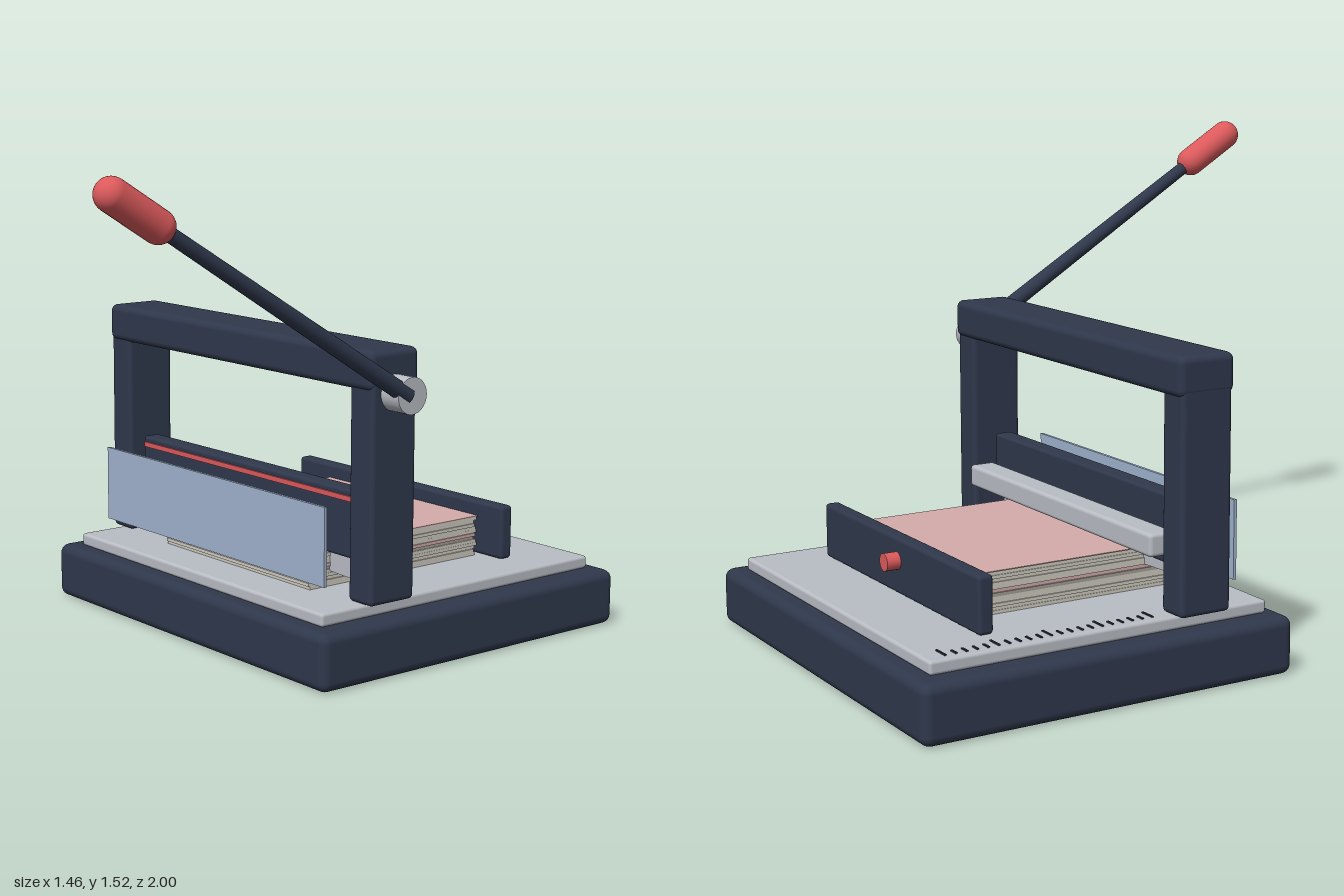
import * as THREE from 'three';
import { RoundedBoxGeometry } from 'three/addons/geometries/RoundedBoxGeometry.js';

const paint = (name, color) => {
  const m = new THREE.MeshStandardMaterial({ color });
  m.name = name;
  return m;
};

export function createModel() {
  const model = new THREE.Group();
  model.name = 'paperGuillotine';
  const navy = paint('navy enamel', 0x2f384c);
  const steel = paint('steel', 0xb9bdc4);
  const red = paint('red', 0xdc5a5c);
  const cream = paint('cream paper', 0xcfccc0);
  const greyPaper = paint('paper gap', 0xa39f96);
  const pink = paint('pink paper', 0xd4acab);
  const guardBlue = paint('guard blue', 0xa0b3ce);
  const ink = paint('ruler ink', 0x2a2e38);

  const add = (name, geometry, material, parent = model) => {
    const mesh = new THREE.Mesh(geometry, material);
    mesh.name = name;
    parent.add(mesh);
    return mesh;
  };

  // Box given by its limits on each axis; r rounds the edges
  const box = (name, material, [x0, x1], [y0, y1], [z0, z1], r = 0, parent = model) => {
    const size = [x1 - x0, y1 - y0, z1 - z0];
    const geometry = r ? new RoundedBoxGeometry(...size, 3, r) : new THREE.BoxGeometry(...size);
    const mesh = add(name, geometry, material, parent);
    mesh.position.set((x0 + x1) / 2, (y0 + y1) / 2, (z0 + z1) / 2);
    return mesh;
  };

  // Base and bed
  box('base', navy, [-0.73, 0.66], [0, 0.177], [-1, 0.22], 0.03);
  box('bed', steel, [-0.66, 0.59], [0.177, 0.218], [-0.945, 0.168], 0.01);

  // Portal frame
  for (const [name, x] of [['rightPost', -0.647], ['leftPost', 0.574]]) {
    box(name, navy, [x - 0.052, x + 0.052], [0.218, 0.89], [-0.16, 0.012], 0.015);
  }
  box('topBeam', navy, [-0.7, 0.626], [0.858, 0.977], [-0.17, 0.02], 0.022);

  // Blade carrier, its red strip, and the slanted blade below
  box('bladeCarrier', navy, [-0.578, 0.505], [0.33, 0.54], [-0.09, -0.03], 0.01);
  box('carrierStrip', red, [-0.565, 0.497], [0.506, 0.522], [-0.032, -0.024]);
  const edge = new THREE.Shape([
    new THREE.Vector2(-0.56, 0.42), new THREE.Vector2(-0.56, 0.30),
    new THREE.Vector2(0.485, 0.26), new THREE.Vector2(0.485, 0.42),
  ]);
  const blade = add('blade', new THREE.ExtrudeGeometry(edge, { depth: 0.015, bevelEnabled: false }), steel);
  blade.position.z = -0.07;

  // Clamp bar behind the blade, and front safety guard
  box('clampBar', steel, [-0.578, 0.503], [0.375, 0.445], [-0.188, -0.1], 0.012);
  box('safetyGuard', guardBlue, [-0.593, 0.525], [0.273, 0.515], [0.096, 0.106]);

  // Back gauge with its locking knob
  box('backGauge', navy, [-0.54, 0.466], [0.22, 0.392], [-0.728, -0.68], 0.012);
  const knob = add('gaugeKnob', new THREE.CylinderGeometry(0.027, 0.027, 0.05, 20), red);
  knob.rotation.x = Math.PI / 2;
  knob.position.set(-0.037, 0.322, -0.747);

  // Slightly uneven stack of sheets with a pink cover
  const stack = new THREE.Group();
  stack.name = 'paperStack';
  model.add(stack);
  const layers = 12;
  const h = 0.126 / layers;
  for (let i = 0; i < layers; i++) {
    const dz = 0.007 * Math.sin(i * 1.5);
    const dx = 0.003 * Math.sin(i * 2.3);
    const y = 0.218 + i * h;
    const material = i === 6 ? pink : i === 5 ? greyPaper : cream;
    box('sheet', material, [-0.367 + dx, 0.362 + dx], [y, y + h], [-0.665 + dz, 0.024 + dz], 0, stack);
  }
  box('coverSheet', pink, [-0.37, 0.364], [0.344, 0.347], [-0.675, 0.03], 0, stack);

  // Ruler marks along the bed
  const ruler = new THREE.Group();
  ruler.name = 'ruler';
  model.add(ruler);
  for (let i = 0; i <= 20; i++) {
    const z = -0.883 + i * 0.0334;
    const length = i % 5 === 0 ? 0.053 : 0.03;
    box('rulerMark', ink, [-0.634, -0.634 + length], [0.217, 0.222], [z - 0.003, z + 0.003], 0, ruler);
  }

  // Pivot hub and lever
  const hub = add('leverHub', new THREE.CylinderGeometry(0.055, 0.055, 0.075, 28), steel);
  hub.rotation.z = Math.PI / 2;
  hub.position.set(0.664, 0.85, -0.073);

  const lever = new THREE.Group();
  lever.name = 'lever';
  lever.position.set(0.682, 0.848, -0.07);
  lever.rotation.x = Math.atan2(1.022, 0.629);
  model.add(lever);
  const arm = add('leverArm', new THREE.CylinderGeometry(0.021, 0.027, 1.08, 20), navy, lever);
  arm.position.y = 0.54;
  const grip = add('leverGrip', new THREE.CapsuleGeometry(0.048, 0.17, 8, 24), red, lever);
  grip.position.y = 1.115;

  return model;
}
